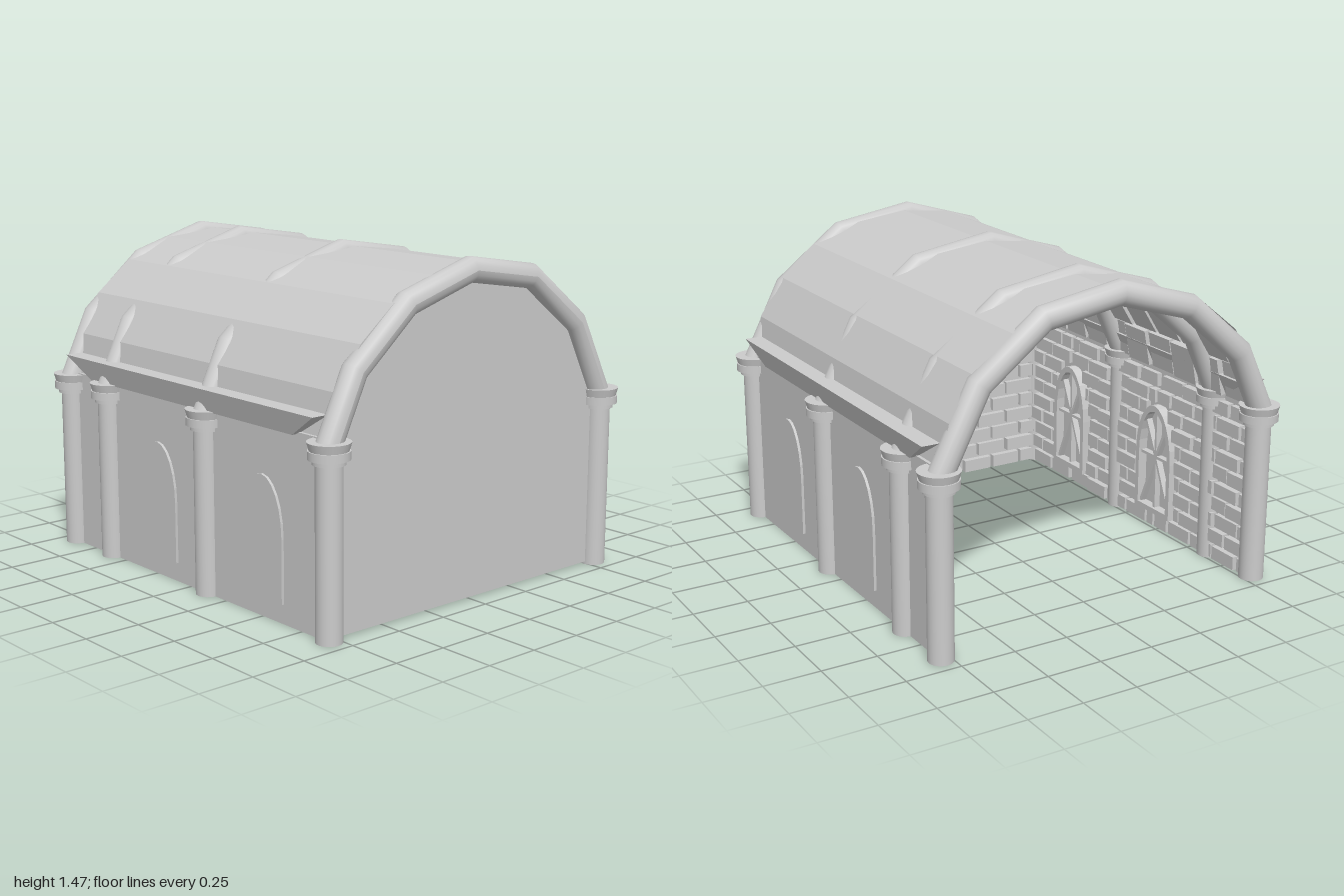
import * as THREE from 'three';
import { mergeGeometries } from 'three/addons/utils/BufferGeometryUtils.js';

const smooth = new THREE.MeshStandardMaterial({ color: 0xcccccc, side: THREE.DoubleSide });
const flat = new THREE.MeshStandardMaterial({ color: 0xcccccc, flatShading: true, side: THREE.DoubleSide });
const A = 0.79, B = 0.64, SPRING = 0.8; // vault half-width, rise and springing height
const WINDOWS = [0.507, -0.222];        // window centres along z
const WIN = { half: 0.13, sill: 0.085, spring: 0.36, rise: 0.25 };

function add(parent, name, geometry, material = flat) {
  const mesh = new THREE.Mesh(geometry, material);
  mesh.name = name;
  parent.add(mesh);
  return mesh;
}

function seeded(seed) {
  return () => (seed = (seed * 16807) % 2147483647) / 2147483647;
}

// Arched outline: straight jambs with a half ellipse on top
function archPath(half, bottom, spring, rise, Type = THREE.Shape, segments = 12) {
  const path = new Type();
  path.moveTo(-half, bottom);
  path.lineTo(half, bottom);
  for (let i = 0; i <= segments; i++) {
    const a = (i / segments) * Math.PI;
    path.lineTo(half * Math.cos(a), spring + rise * Math.sin(a));
  }
  path.closePath();
  return path;
}

function archHalfWidth(y, half, spring, rise) {
  if (y <= spring) return half;
  const t = (y - spring) / rise;
  return t >= 1 ? 0 : half * Math.sqrt(1 - t * t);
}

// Staggered relief bricks in the xy plane; spans(y) lists the free intervals of a row
function brickRelief(spans, height, seed) {
  const rand = seeded(seed), row = 0.078, length = 0.17, gap = 0.016, parts = [];
  for (let r = 0; (r + 0.6) * row < height; r++) {
    const y = (r + 0.5) * row;
    for (const [from, to] of spans(y)) {
      for (let s = -1.2 - (r % 2) * length / 2; s < to; s += length) {
        const a = Math.max(s, from) + gap / 2, b = Math.min(s + length, to) - gap / 2;
        if (b - a < 0.02) continue;
        const depth = 0.022 + 0.014 * rand();
        parts.push(new THREE.BoxGeometry(b - a, row - gap, depth)
          .translate((a + b) / 2, y, depth / 2));
      }
    }
  }
  return mergeGeometries(parts);
}

// Polygonal arched tube with mitred joints
function ribGeometry(radius) {
  const pts = [[-0.8, 0.79], [-0.665, 1.075], [-0.39, 1.31], [-0.04, 1.415],
    [0.32, 1.357], [0.615, 1.13], [0.79, 0.79]].map(p => new THREE.Vector2(...p));
  const sides = 16, n = pts.length - 1;
  const geo = new THREE.CylinderGeometry(1, 1, 1, sides, n, true);
  const pos = geo.attributes.position;
  for (let j = 0; j <= n; j++) {
    const d1 = pts[Math.min(j + 1, n)].clone().sub(pts[Math.min(j, n - 1)]).normalize();
    const d0 = pts[Math.max(j, 1)].clone().sub(pts[Math.max(j - 1, 0)]).normalize();
    const t = d0.clone().add(d1).normalize();
    const mitre = radius / t.dot(d1);
    for (let k = 0; k <= sides; k++) {
      const i = j * (sides + 1) + k, out = pos.getX(i) * mitre;
      pos.setXYZ(i, pts[j].x - t.y * out, pts[j].y + t.x * out, pos.getZ(i) * radius);
    }
  }
  geo.computeVertexNormals();
  return geo;
}

function column(x, z) {
  const g = new THREE.Group();
  g.name = 'column';
  const ring = (name, top, bottom, y0, y1) =>
    add(g, name, new THREE.CylinderGeometry(top, bottom, y1 - y0, 24).translate(0, (y0 + y1) / 2, 0), smooth);
  ring('shaft', 0.056, 0.056, 0, 0.78);
  ring('neckRing', 0.068, 0.068, 0.725, 0.748);
  ring('capitalRing', 0.086, 0.086, 0.745, 0.78);
  ring('capitalTop', 0.09, 0.08, 0.78, 0.815);
  g.position.set(x, 0, z);
  return g;
}

// Inner window tracery: frame, upright, crossbar and fan of bars
function tracery() {
  const g = new THREE.Group();
  g.name = 'windowTracery';
  const frame = archPath(WIN.half + 0.005, WIN.sill - 0.005, WIN.spring, WIN.rise + 0.01);
  frame.holes.push(archPath(WIN.half - 0.02, WIN.sill + 0.02, WIN.spring, WIN.rise - 0.02, THREE.Path));
  add(g, 'windowFrame', new THREE.ExtrudeGeometry(frame, { depth: 0.045, bevelEnabled: false }));
  const bar = (x0, y0, x1, y1) => {
    const len = Math.hypot(x1 - x0, y1 - y0);
    const m = add(g, 'windowBar', new THREE.BoxGeometry(0.014, len, 0.03));
    m.position.set((x0 + x1) / 2, (y0 + y1) / 2, 0.015);
    m.rotation.z = -Math.atan2(x1 - x0, y1 - y0);
  };
  bar(0, WIN.sill, 0, WIN.spring + WIN.rise);
  bar(-WIN.half, WIN.spring, WIN.half, WIN.spring);
  for (const s of [-1, 1]) {
    bar(0, WIN.spring, s * 0.085, WIN.spring + 0.18);
    bar(0, WIN.spring, s * 0.11, WIN.sill + 0.02);
  }
  return g;
}

// One side wall with its window panels, bricks and cornice; outside faces side * x
function sideWall(side) {
  const g = new THREE.Group();
  g.name = side > 0 ? 'leftWall' : 'rightWall';
  add(g, 'wallPanel', new THREE.BoxGeometry(0.015, 0.82, 1.82)).position.set(side * 0.7925, 0.41, 0);

  const inner = new THREE.Group();
  inner.name = 'innerFace';
  inner.rotation.y = -side * Math.PI / 2;
  inner.position.x = side * 0.785;
  const centres = WINDOWS.map(z => side * z).sort((a, b) => a - b);
  const spans = y => {
    const list = [];
    let from = -0.9;
    for (const c of centres) {
      const h = y < WIN.sill - 0.03 ? 0 : archHalfWidth(y, WIN.half + 0.012, WIN.spring, WIN.rise + 0.02);
      list.push([from, c - h]);
      from = c + h;
    }
    return [...list, [from, 0.9]];
  };
  add(inner, 'wallBricks', brickRelief(spans, 0.82, 11));
  for (const c of centres) {
    const t = tracery();
    t.position.x = c;
    inner.add(t);
  }
  g.add(inner);

  for (const z of WINDOWS) {
    const panel = add(g, 'windowPanel', new THREE.ExtrudeGeometry(
      archPath(WIN.half, WIN.sill, WIN.spring, WIN.rise), { depth: 0.012, bevelEnabled: false }));
    panel.rotation.y = side * Math.PI / 2;
    panel.position.set(side * 0.8, 0, z);
  }

  // Cornice tapering downwards
  const cornice = new THREE.BoxGeometry(0.13, 0.1, 1.75);
  const pos = cornice.attributes.position;
  for (let i = 0; i < pos.count; i++) {
    if (pos.getY(i) < 0) pos.setXYZ(i, side * 0.01 + pos.getX(i) * 0.4, pos.getY(i), pos.getZ(i) * 0.82);
  }
  add(g, 'cornice', cornice).position.set(side * 0.785, 0.86, 0);
  return g;
}

// Faceted vault skin with staggered stone blocks underneath
function vault() {
  const g = new THREE.Group();
  g.name = 'vault';
  const facets = 10, length = 1.83, rand = seeded(5), blocks = [];
  const skin = new THREE.PlaneGeometry(1, length, facets, 1).rotateX(-Math.PI / 2);
  const at = i => {
    const a = Math.PI * (1 - i / facets);
    return new THREE.Vector2(A * Math.cos(a), SPRING + B * Math.sin(a));
  };
  const pos = skin.attributes.position;
  for (let i = 0; i < pos.count; i++) {
    const p = at(i % (facets + 1));
    pos.setXY(i, p.x, p.y);
  }
  add(g, 'roofSkin', skin);
  for (let i = 0; i < facets; i++) {
    const p = at(i), q = at(i + 1), d = q.clone().sub(p), step = 0.18;
    for (let s = -0.9 - (i % 2) * step / 2; s < 0.89; s += step) {
      const a = Math.max(s, -0.9) + 0.01, b = Math.min(s + step, 0.9) - 0.01;
      if (b - a < 0.03) continue;
      const depth = 0.03 + 0.02 * rand();
      blocks.push(new THREE.BoxGeometry(d.length() - 0.03, depth, b - a)
        .translate(0, -depth / 2 - 0.002, 0).rotateZ(Math.atan2(d.y, d.x))
        .translate((p.x + q.x) / 2, (p.y + q.y) / 2, (a + b) / 2));
    }
  }
  add(g, 'vaultBlocks', mergeGeometries(blocks));
  return g;
}

export function createModel() {
  const model = new THREE.Group();
  model.name = 'vaultedHall';
  model.add(vault(), sideWall(1), sideWall(-1));

  // Closed front wall, bricked inside; the back stays open
  add(model, 'frontWall', new THREE.ExtrudeGeometry(archPath(A, 0.012, SPRING, B, THREE.Shape, 10),
    { depth: 0.015, bevelEnabled: false })).position.z = 0.9;
  const bricks = add(model, 'frontWallBricks', brickRelief(y => {
    const h = archHalfWidth(y + 0.04, 0.77, SPRING, B - 0.04);
    return [[-h, h]];
  }, 1.38, 23));
  bricks.rotation.y = Math.PI;
  bricks.position.z = 0.9;

  // Columns in pairs, each pair carrying a rib
  const rib = ribGeometry(0.054);
  for (const z of [0.91, 0.12, -0.605, -0.91]) {
    model.add(column(0.795, z), column(-0.795, z));
    add(model, 'archRib', rib, smooth).position.z = z;
  }
  return model;
}
